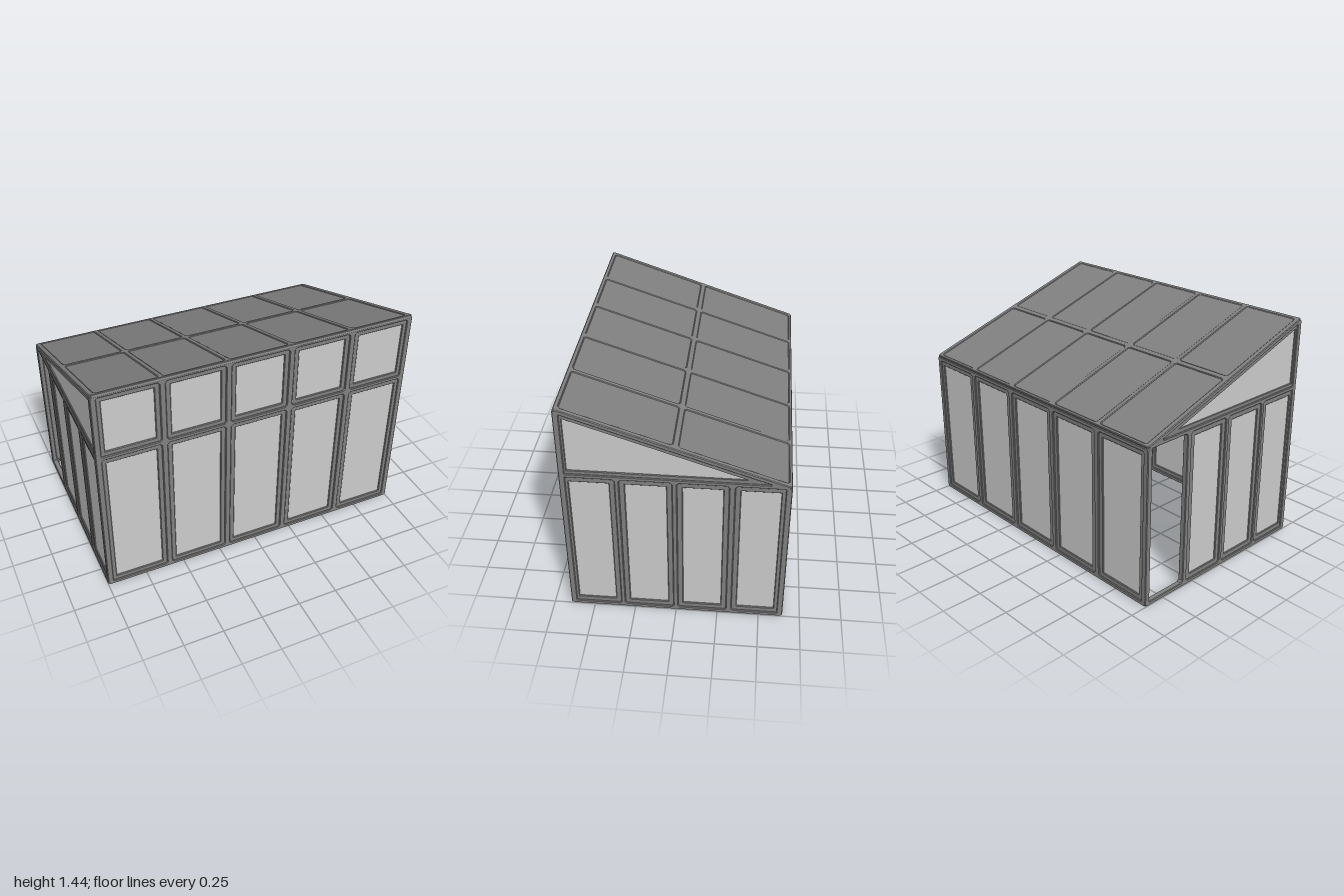
import * as THREE from 'three';

const frameMat = new THREE.MeshStandardMaterial({ color: 0x808080 });
const paneMat = new THREE.MeshStandardMaterial({ color: 0xcccccc });

const WALL = 0.035;   // wall frame depth
const ROOF = 0.022;   // roof frame depth
const HALF_Z = 0.645;
const SLOPE = 0.341;

const rect = (x0, y0, x1, y1) => [[x0, y0], [x1, y0], [x1, y1], [x0, y1]];

// Moves every edge of a convex counter-clockwise polygon inwards by d
function inset(pts, d) {
  const n = pts.length;
  const lines = pts.map(([x, y], i) => {
    const [x2, y2] = pts[(i + 1) % n];
    const l = Math.hypot(x2 - x, y2 - y);
    const nx = -(y2 - y) / l, ny = (x2 - x) / l;
    return [nx, ny, nx * x + ny * y + d];
  });
  return lines.map(([a, b, c], i) => {
    const [p, q, r] = lines[(i + n - 1) % n];
    const det = a * q - b * p;
    return [(c * q - b * r) / det, (a * r - c * p) / det];
  });
}

// Cuts every corner of a polygon at distance c
function chamfer(pts, c) {
  const n = pts.length;
  const toward = ([x, y], [x2, y2]) => {
    const l = Math.hypot(x2 - x, y2 - y);
    return [x + (x2 - x) * c / l, y + (y2 - y) * c / l];
  };
  return pts.flatMap((p, i) => [toward(p, pts[(i + n - 1) % n]), toward(p, pts[(i + 1) % n])]);
}

// Plate with holes, centred on its own plane, with bevelled edges
function plate(name, outline, holes, depth, bevel, mat) {
  const toVec = (pts) => pts.map(([x, y]) => new THREE.Vector2(x, y));
  const shape = new THREE.Shape(toVec(outline));
  holes.forEach((h) => shape.holes.push(new THREE.Path(toVec(h))));
  const core = depth - 2 * bevel;
  const geo = new THREE.ExtrudeGeometry(shape, {
    depth: core, bevelEnabled: bevel > 0, bevelSegments: 1,
    bevelSize: bevel, bevelThickness: bevel, bevelOffset: -bevel,
  });
  geo.translate(0, 0, -core / 2);
  const mesh = new THREE.Mesh(geo, mat);
  mesh.name = name;
  return mesh;
}

// A framed panel: bars around all cells, then a sash and a pane in each cell
function panel(name, outline, cells, depth, sash, openings = []) {
  const group = new THREE.Group();
  group.name = name;
  const holes = [...cells, ...openings].map((c) => chamfer(c, 0.012));
  group.add(plate('frame', chamfer(outline, 0.012), holes, depth, 0.004, frameMat));
  for (const cell of cells) {
    group.add(plate('sash', chamfer(inset(cell, -0.002), 0.012), [inset(cell, sash)], depth * 0.62, 0.004, frameMat));
    group.add(plate('pane', inset(cell, sash - 0.004), [], 0.006, 0, paneMat));
  }
  return group;
}

// Row of five equal cells across the width
function row(y0, y1, width = 0.36, pitch = 0.395) {
  return [-2, -1, 0, 1, 2].map((i) => rect(i * pitch - width / 2, y0, i * pitch + width / 2, y1));
}

export function createModel() {
  const model = new THREE.Group();
  model.name = 'leanToGreenhouse';

  // Tall front wall with small upper windows
  const front = panel('frontWall', rect(-1, 0, 1, 1.428),
    [...row(0.025, 0.985), ...row(1.01, 1.41)], WALL, 0.03);
  front.position.z = HALF_Z - WALL / 2;
  model.add(front);

  // Low back wall
  const back = panel('backWall', rect(-1, 0, 1, 0.99), row(0.025, 0.965), WALL, 0.03);
  back.position.z = -HALF_Z + WALL / 2;
  model.add(back);

  // Side walls with a sloping gable; the right-hand one in -x has an open doorway
  const top = (u, drop) => 1.22 - SLOPE * u - drop;
  const outline = [[-HALF_Z, 0], [HALF_Z, 0], [HALF_Z, top(HALF_Z, 0.005)], [-HALF_Z, top(-HALF_Z, 0.005)]];
  const gable = [[-0.62, 1.01], [(1.194 - 1.01) / SLOPE, 1.01], [-0.62, top(-0.62, 0.026)]];
  const bays = [[-0.625, -0.335], [-0.31, -0.015], [0.012, 0.302], [0.335, 0.62]]
    .map(([a, b]) => rect(a, 0.025, b, 0.985));
  for (const side of [1, -1]) {
    const open = side < 0;
    const cells = open ? bays.slice(0, 3) : bays;
    const wall = panel(open ? 'doorSideWall' : 'closedSideWall', outline, cells, WALL, 0.032, open ? [bays[3], gable] : [gable]);
    wall.add(plate('gableSash', inset(gable, -0.002), [inset(gable, 0.022)], WALL * 0.62, 0.003, frameMat));
    wall.add(plate('gablePane', inset(gable, 0.018), [], 0.006, 0, paneMat));
    wall.rotation.y = Math.PI / 2;
    wall.position.x = side * (1 - WALL / 2);
    model.add(wall);
  }

  // Sloping roof, two rows of panes from the high front to the low back
  const c = 1 / Math.hypot(1, SLOPE), s = SLOPE * c;
  const length = (0.64 + HALF_Z) / c;
  const roof = panel('roof', rect(-1, 0, 1, length),
    [...row(0.025, 0.665, 0.362, 0.393), ...row(0.7, length - 0.02, 0.362, 0.393)], ROOF, 0.01);
  roof.rotation.x = Math.atan2(-c, -s);
  roof.position.set(0, 1.44 - c * ROOF / 2, 0.64 + s * ROOF / 2);
  model.add(roof);

  return model;
}
